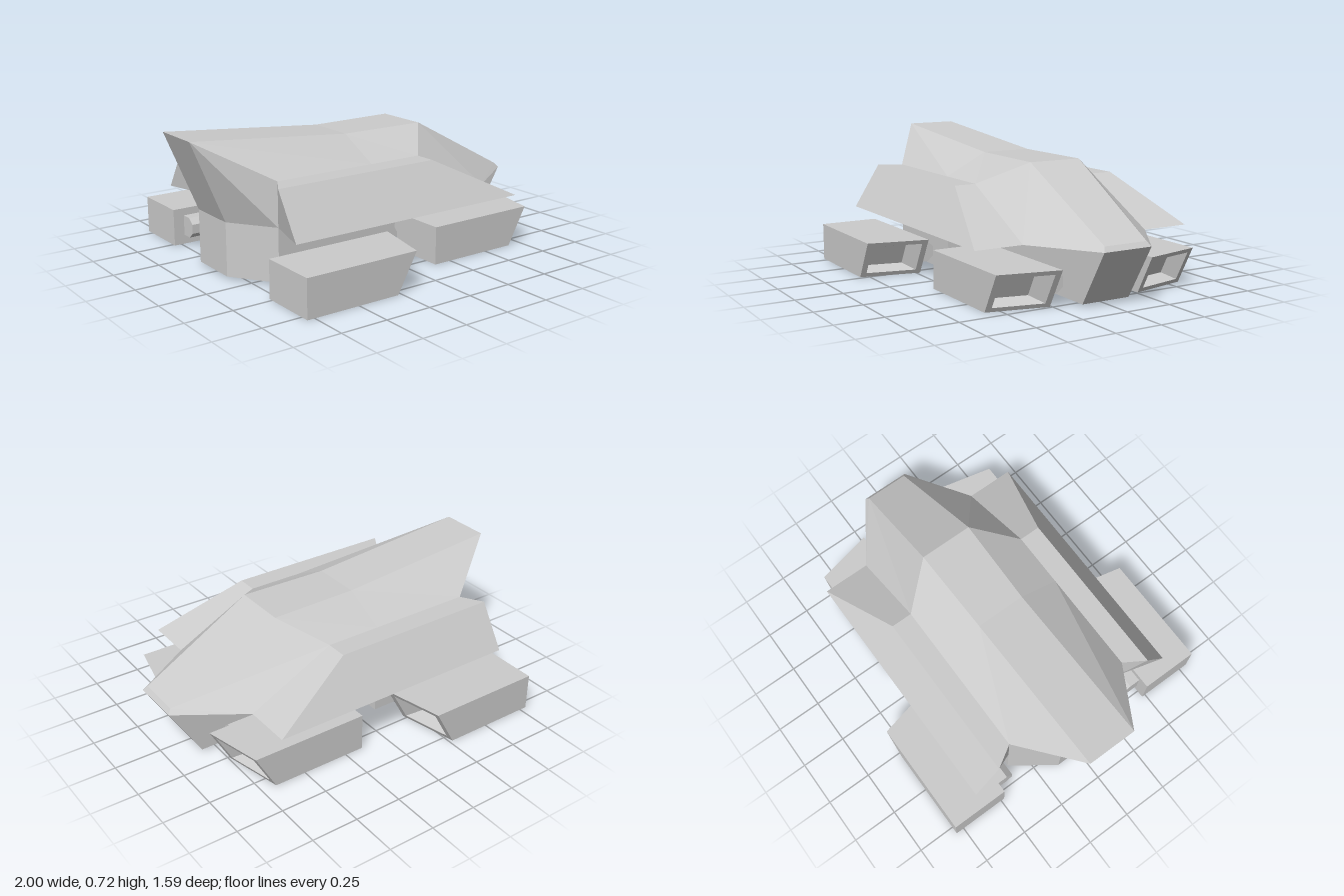
import * as THREE from 'three';
import { ConvexGeometry } from 'three/addons/geometries/ConvexGeometry.js';

const material = new THREE.MeshStandardMaterial({ color: 0xcccccc, flatShading: true });

// Flat-shaded geometry from polygons; every side -1 mirrors them across z
function faceted(faces, sides) {
  const pos = [];
  for (const s of sides) {
    for (const f of faces) {
      const p = f.map(([x, y, z]) => [x, y, z * s]);
      if (s < 0) p.reverse();
      for (let i = 1; i < p.length - 1; i++) pos.push(...p[0], ...p[i], ...p[i + 1]);
    }
  }
  const g = new THREE.BufferGeometry();
  g.setAttribute('position', new THREE.Float32BufferAttribute(pos, 3));
  g.computeVertexNormals();
  return g;
}

const convex = (points) => new ConvexGeometry(points.map((p) => new THREE.Vector3(...p)));
const mirrored = (points) => points.flatMap(([x, y, z]) => [[x, y, z], [x, y, -z]]);
const centre = ([x, y]) => [x, y, 0];

// Framed panel with a tapering recess; corners run counter-clockwise
function recess(corners, u, v, taper, push) {
  const [a, b, c, d] = corners;
  const at = (s, t) => a.map((_, i) =>
    (1 - s) * ((1 - t) * a[i] + t * b[i]) + s * ((1 - t) * d[i] + t * c[i]));
  const ring = (s, t) => [at(s, t), at(s, 1 - t), at(1 - s, 1 - t), at(1 - s, t)];
  const rim = ring(u, v);
  const floor = ring(u + taper, v + taper).map((p) => p.map((n, i) => n + push[i]));
  const faces = [floor];
  for (const [outer, inner] of [[corners, rim], [rim, floor]]) {
    for (let i = 0; i < 4; i++) {
      const j = (i + 1) % 4;
      faces.push([outer[i], outer[j], inner[j], inner[i]]);
    }
  }
  return faces;
}

// Upper hull: stations of ridge and shoulder points, one half
function hullFaces() {
  const ridge = [[-1, 0.72, 0.135], [-0.1, 0.64, 0.135], [0.38, 0.64, 0.145], [0.98, 0.32, 0.12]];
  const shoulder = [[-0.66, 0.525, 0.36], [-0.1, 0.525, 0.36], [0.2, 0.525, 0.36], [0.66, 0.295, 0.36]];
  const nose = [1, 0.295, 0.135];
  const sternLow = [-0.82, 0.295, 0.135];
  const sideLow = [-0.66, 0.295, 0.36];
  const faces = [];
  for (let i = 0; i < 3; i++) {
    faces.push([centre(ridge[i]), ridge[i], ridge[i + 1], centre(ridge[i + 1])]);
    faces.push([ridge[i], shoulder[i], shoulder[i + 1], ridge[i + 1]]);
  }
  faces.push(
    [centre(ridge[3]), ridge[3], nose, centre(nose)],
    [ridge[3], shoulder[3], nose],
    [shoulder[0], sideLow, shoulder[3], shoulder[2], shoulder[1]],
    [ridge[0], sternLow, sideLow, shoulder[0]],
    [centre(ridge[0]), centre(sternLow), sternLow, ridge[0]],
    [centre(sternLow), centre(nose), nose, shoulder[3], sideLow, sternLow],
  );
  return faces;
}

// Engine pod: slanted front intake and a vent underneath
function podFaces() {
  const w = 0.315, h = 0.2;
  const backIn = [0, 0, 0], backOut = [0, 0, w], backInTop = [0, h, 0], backOutTop = [0, h, w];
  const frontIn = [0.59, 0, 0], frontOut = [0.52, 0, w];
  const frontInTop = [0.7, h, 0], frontOutTop = [0.63, h, w];
  return [
    [backInTop, backOutTop, frontOutTop, frontInTop],
    [backOutTop, backOut, frontOut, frontOutTop],
    [backInTop, frontInTop, frontIn, backIn],
    [backInTop, backIn, backOut, backOutTop],
    ...recess([frontOutTop, frontOut, frontIn, frontInTop], 0.09, 0.11, 0.12, [-0.1, 0, 0]),
    ...recess([backIn, frontIn, frontOut, backOut], 0.15, 0.13, 0.1, [0, 0.045, 0]),
  ];
}

// Chamfered mounting bar running along the inner side of a pod
function barGeometry() {
  const points = [];
  for (const x of [0.06, 0.56]) {
    for (const [y, z] of [[0.05, 0.02], [0.05, -0.06], [0.08, -0.095], [0.13, -0.095], [0.16, -0.06], [0.16, 0.02]]) {
      points.push([x, y, z]);
    }
  }
  return points;
}

export function createModel() {
  const model = new THREE.Group();
  const add = (name, geometry, parent = model) => {
    const mesh = new THREE.Mesh(geometry, material);
    mesh.name = name;
    parent.add(mesh);
    return mesh;
  };

  add('upperHull', faceted(hullFaces(), [1, -1]));

  // Wide lower hull at the stern, narrow keel towards the nose
  const stern = [];
  for (const y of [0.015, 0.295]) stern.push([-0.1, y, 0.36], [-0.66, y, 0.36], [-0.82, y, 0.135]);
  add('lowerHull', convex(mirrored(stern)));
  add('keel', convex(mirrored([
    [-0.12, 0.015, 0.135], [-0.12, 0.295, 0.135], [0.83, 0.015, 0.135], [1, 0.295, 0.135],
  ])));

  for (const s of [1, -1]) {
    const side = s > 0 ? 'Front' : 'Back';

    // Sloped side armour
    add('sideArmour' + side, convex([
      [-0.66, 0.525, 0.36], [-0.66, 0.295, 0.36], [-0.73, 0.525, 0.475], [-0.73, 0.295, 0.62],
      [0.2, 0.525, 0.36], [0.2, 0.525, 0.475], [0.66, 0.295, 0.36], [0.66, 0.295, 0.62],
    ].map(([x, y, z]) => [x, y, z * s])));

    // Nose and stern pods with their bars
    for (const [name, x, z] of [['nosePod', 0.15, 0.26], ['sternPod', -0.79, 0.48]]) {
      const pod = new THREE.Group();
      pod.name = name + side;
      pod.position.set(x, 0, z * s);
      add('podShell', faceted(podFaces(), [s]), pod);
      add('podBar', convex(barGeometry().map(([px, y, pz]) => [px, y, Math.min(pz, 0) * s])), pod);
      model.add(pod);
    }
  }
  return model;
}
